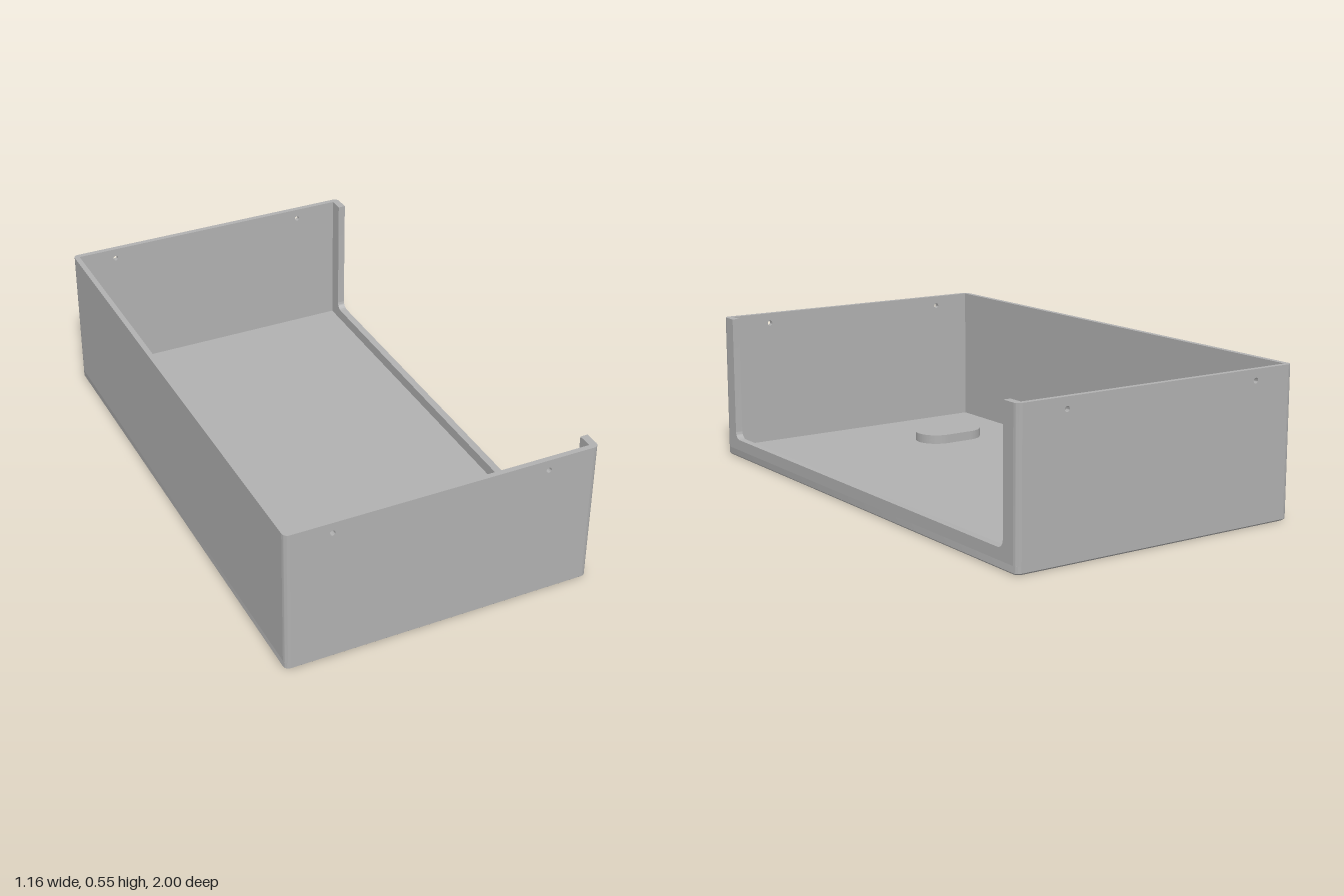
import * as THREE from 'three';
import { toCreasedNormals } from 'three/addons/utils/BufferGeometryUtils.js';

const X = 0.578, Z = 1, TOP = 0.553; // half width, half length, height
const WALL = 0.02, FLOOR = 0.03, CHAMFER = 0.006;
const SLOT = { x: -0.23, z: 0.62, half: 0.055 };

// Rounded rectangle centred on (cx, cy); also used for the slot outlines
function roundedRect(path, cx, cy, hw, hh, r) {
  path.absarc(cx + hw - r, cy + hh - r, r, 0, Math.PI / 2);
  path.absarc(cx - hw + r, cy + hh - r, r, Math.PI / 2, Math.PI);
  path.absarc(cx - hw + r, cy - hh + r, r, Math.PI, Math.PI * 1.5);
  path.absarc(cx + hw - r, cy - hh + r, r, Math.PI * 1.5, Math.PI * 2);
  path.closePath();
  return path;
}

const slotOutline = (path, r) => roundedRect(path, SLOT.x, -SLOT.z, SLOT.half + r, r, r);

function extrude(shape, depth, steps = 1) {
  return new THREE.ExtrudeGeometry(shape, { depth, steps, bevelEnabled: false, curveSegments: 12 });
}

// Plan outline raised along y from y0 to y1
function raise(shape, y0, y1, steps) {
  return extrude(shape, y1 - y0, steps).rotateX(-Math.PI / 2).translate(0, y0, 0);
}

export function createModel() {
  const model = new THREE.Group();
  const grey = new THREE.MeshStandardMaterial({ color: 0xb0b0b0 });
  grey.name = 'plain grey';

  const add = (name, geometry) => {
    const mesh = new THREE.Mesh(toCreasedNormals(geometry, 0.6), grey);
    mesh.name = name;
    model.add(mesh);
    return mesh;
  };

  // Floor slab with a slot and a small chamfer around its underside
  const floorShape = roundedRect(new THREE.Shape(), 0, 0, X, Z, WALL);
  floorShape.holes.push(slotOutline(new THREE.Path(), 0.035));
  const floor = raise(floorShape, 0, FLOOR, Math.round(FLOOR / CHAMFER));
  const p = floor.attributes.position;
  for (let i = 0; i < p.count; i++) {
    if (p.getY(i) > 1e-4) continue;
    p.setX(i, p.getX(i) * (1 - CHAMFER / X));
    p.setZ(i, p.getZ(i) * (1 - CHAMFER / Z));
  }
  add('floor', floor);

  // Raised boss that closes the slot from above
  const bossRing = slotOutline(new THREE.Shape(), 0.085);
  bossRing.holes.push(slotOutline(new THREE.Path(), 0.035));
  add('slotBossSide', raise(bossRing, FLOOR, 0.05));
  add('slotBossCap', raise(slotOutline(new THREE.Shape(), 0.085), 0.05, 0.065));

  // Front and back walls, each with two screw holes
  const endShape = new THREE.Shape();
  endShape.moveTo(-X + WALL, FLOOR).lineTo(X - WALL, FLOOR).lineTo(X - WALL, TOP).lineTo(-X + WALL, TOP);
  endShape.closePath();
  for (const x of [-0.41, 0.385]) {
    endShape.holes.push(new THREE.Path().absarc(x, 0.513, 0.01, 0, Math.PI * 2));
  }
  add('frontWall', extrude(endShape, WALL).translate(0, 0, Z - WALL));
  add('backWall', extrude(endShape, WALL).translate(0, 0, -Z));

  // Closed side wall
  const wallHeight = TOP - FLOOR;
  add('closedSideWall', new THREE.BoxGeometry(WALL, wallHeight, 2 * (Z - WALL)))
    .position.set(-X + WALL / 2, FLOOR + wallHeight / 2, 0);

  // Open side wall: low sill and two end posts joined by rounded corners
  const e = Z - WALL, o = 0.925, sill = 0.072, r = 0.03;
  const openShape = new THREE.Shape();
  openShape.moveTo(-e, FLOOR).lineTo(e, FLOOR).lineTo(e, TOP).lineTo(o, TOP).lineTo(o, sill + r);
  openShape.absarc(o - r, sill + r, r, 0, -Math.PI / 2, true);
  openShape.absarc(-o + r, sill + r, r, -Math.PI / 2, -Math.PI, true);
  openShape.lineTo(-o, TOP).lineTo(-e, TOP);
  openShape.closePath();
  add('openSideWall', extrude(openShape, 0.028).rotateY(Math.PI / 2).translate(X - 0.028, 0, 0));

  // Rounded vertical outer corners
  [[1, 1], [1, -1], [-1, -1], [-1, 1]].forEach(([sx, sz], i) => {
    const corner = new THREE.CylinderGeometry(WALL, WALL, wallHeight, 8, 1, false, i * Math.PI / 2, Math.PI / 2);
    add('roundedCorner', corner)
      .position.set(sx * (X - WALL), FLOOR + wallHeight / 2, sz * (Z - WALL));
  });

  return model;
}
